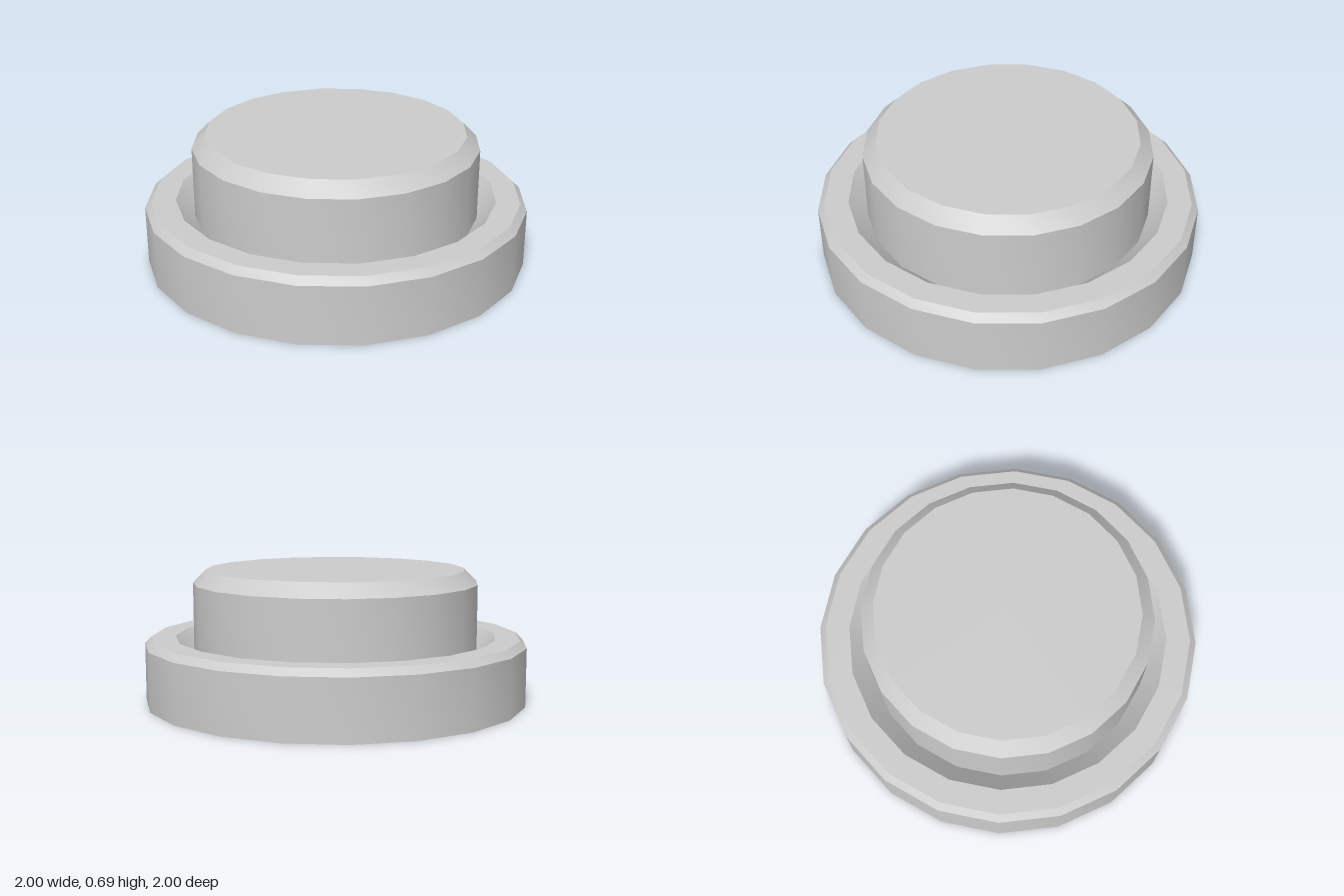
import * as THREE from 'three';
import { toCreasedNormals } from 'three/addons/utils/BufferGeometryUtils.js';

const SIDES = 20;

// Thin turned shell: smooth around, sharp between profile steps
function turnedShell(name, profile) {
  const points = profile.map(([r, y]) => new THREE.Vector2(r, y));
  const geometry = toCreasedNormals(new THREE.LatheGeometry(points, SIDES), Math.PI / 6);
  const material = new THREE.MeshStandardMaterial({ color: 0xcccccc, side: THREE.DoubleSide });
  const mesh = new THREE.Mesh(geometry, material);
  mesh.name = name;
  return mesh;
}

export function createModel() {
  const group = new THREE.Group();
  group.name = 'pushButton';

  // Base ring: outer wall, bevel, flat rim, then a funnel down to an open hole
  group.add(turnedShell('baseRing', [[1, 0], [1, 0.305], [0.965, 0.34], [0.84, 0.34], [0.5, 0]]));

  // Cap: hollow, open below, its wall reaching just through the funnel
  group.add(turnedShell('buttonCap', [[0.745, 0.225], [0.745, 0.62], [0.675, 0.69], [0, 0.69]]));

  return group;
}
